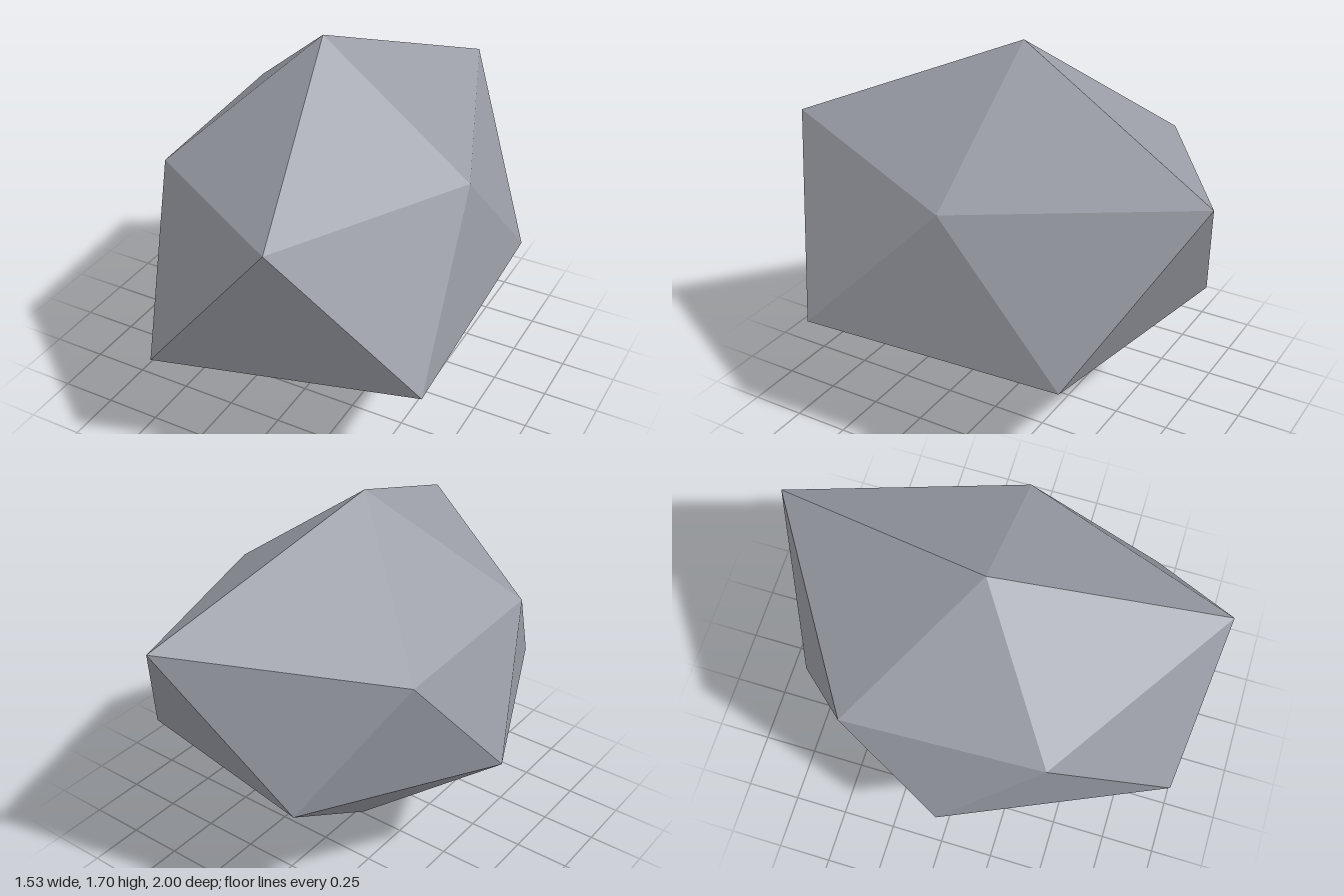
import * as THREE from 'three';

// Faceted stone: two poles joined by two staggered five-point rings
export function createModel() {
  const stoneGrey = new THREE.MeshStandardMaterial({ color: 0x9a9da6 });
  stoneGrey.name = 'stoneGrey';

  const top = [-0.03, 1.7, 0.01];
  const bottom = [-0.03, 0, 0.01];
  // Rings run from +x towards +z; each lower point sits between two upper ones
  const upper = [
    [0.66, 1.18, 0.01], [0.26, 1.28, 1], [-0.57, 1.17, 0.43],
    [-0.61, 1.19, -0.45], [0.27, 1.29, -1],
  ];
  const lower = [
    [0.76, 0.54, 0.64], [-0.32, 0.56, 0.97], [-0.77, 0.63, 0],
    [-0.27, 0.61, -0.79], [0.71, 0.56, -0.58],
  ];

  // Cap, two band triangles and base for each fifth, unshared for flat facets
  const points = [];
  for (let i = 0; i < 5; i++) {
    const j = (i + 1) % 5;
    points.push(
      top, upper[j], upper[i],
      upper[i], upper[j], lower[i],
      lower[i], upper[j], lower[j],
      bottom, lower[i], lower[j],
    );
  }
  const geometry = new THREE.BufferGeometry();
  geometry.setAttribute('position', new THREE.Float32BufferAttribute(points.flat(), 3));
  geometry.computeVertexNormals();

  const stone = new THREE.Mesh(geometry, stoneGrey);
  stone.name = 'stone';
  const group = new THREE.Group();
  group.name = 'facetedStone';
  group.add(stone);
  return group;
}
